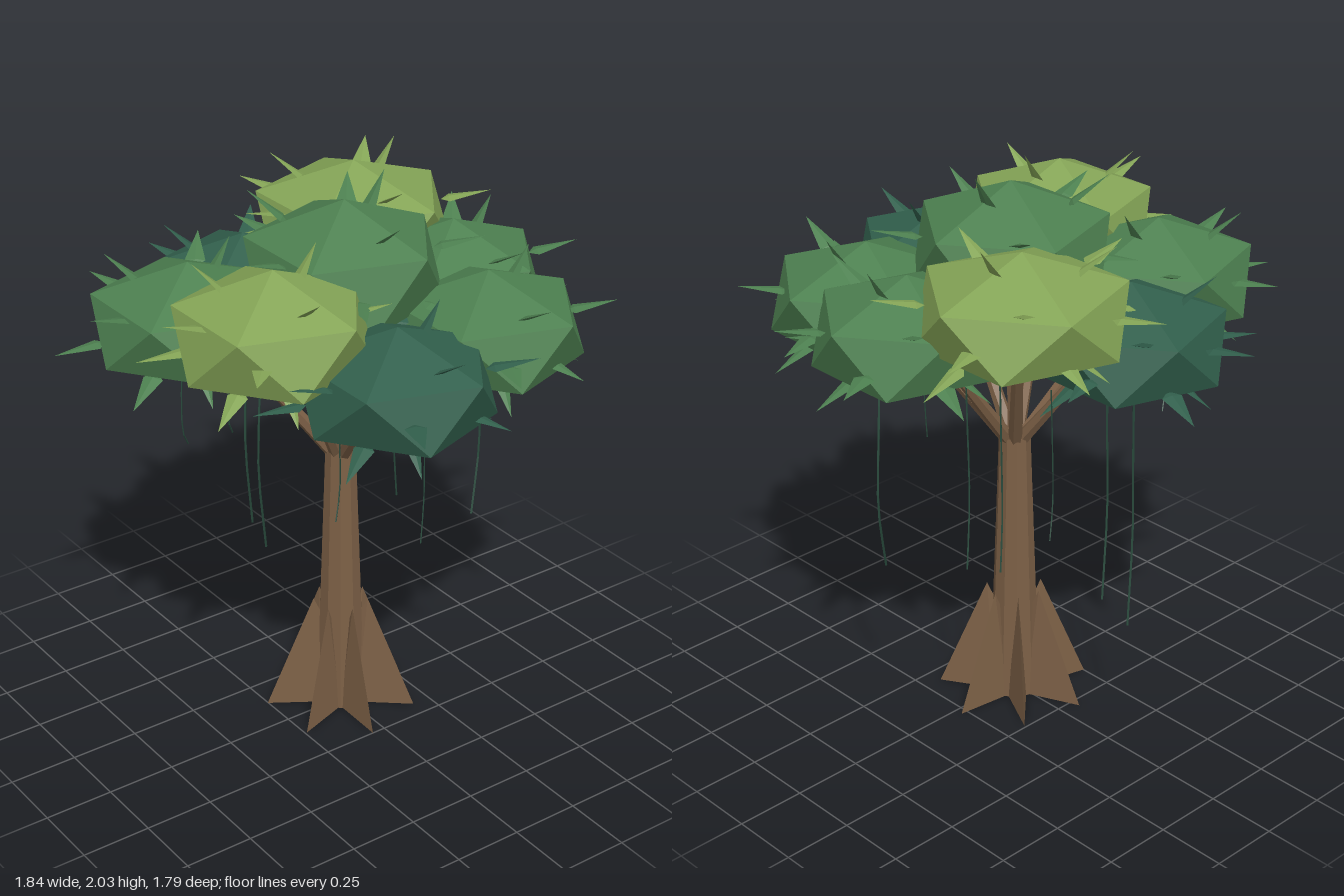
import * as THREE from 'three';
import { ConvexGeometry } from 'three/addons/geometries/ConvexGeometry.js';

const paint = (name, color) => {
  const m = new THREE.MeshStandardMaterial({ color, flatShading: true });
  m.name = name;
  return m;
};
const V = (x, y, z) => new THREE.Vector3(x, y, z);

export function createModel() {
  const tree = new THREE.Group();
  tree.name = 'tree';
  const bark = paint('bark brown', 0x7c6046);
  const lime = paint('lime leaf', 0x84a456);
  const green = paint('mid green leaf', 0x4d8050);
  const dark = paint('dark teal leaf', 0x315f4c);
  const vineMat = paint('vine green', 0x28493b);

  const add = (parent, name, geo, mat) => {
    const mesh = new THREE.Mesh(geo, mat);
    mesh.name = name;
    parent.add(mesh);
    return mesh;
  };

  // Tapered cylinder between two points
  const limb = (parent, name, a, b, r0, r1, sides, mat) => {
    const d = b.clone().sub(a);
    const mesh = add(parent, name, new THREE.CylinderGeometry(r1, r0, d.length(), sides), mat);
    mesh.position.copy(a).addScaledVector(d, 0.5);
    mesh.quaternion.setFromUnitVectors(V(0, 1, 0), d.normalize());
  };

  // Trunk and its seven buttress roots
  const base = new THREE.Group();
  base.name = 'trunkBase';
  base.position.z = -0.02;
  tree.add(base);
  limb(base, 'trunk', V(0, 0, 0), V(0, 1.04, 0), 0.092, 0.056, 10, bark);
  const root = new ConvexGeometry([
    V(0.275, 0, 0), V(0.07, 0, 0.034), V(0.07, 0, -0.034), V(0.1, 0.43, 0), V(0.06, 0.34, 0),
  ]);
  for (let i = 0; i < 7; i++) {
    add(base, 'buttressRoot', root, bark).rotation.y = -(0.86 + i * Math.PI * 2 / 7);
  }

  // Icosahedron standing on a vertex
  const clumpGeo = new THREE.IcosahedronGeometry(1, 0);
  clumpGeo.rotateZ(-Math.atan(2 / (1 + Math.sqrt(5))));

  // Flattened pointed leaf, base at the origin, tip along +y
  const leafGeo = new THREE.LatheGeometry(
    [[0, 0], [0.036, 0.03], [0.022, 0.09], [0, 0.18]].map(p => new THREE.Vector2(...p)), 4);
  leafGeo.rotateY(Math.PI / 2);
  leafGeo.scale(1, 1, 0.2);
  const leaf = (parent, tip, centre, mat) => {
    const d = tip.clone().sub(centre).normalize();
    const side = V(d.z, 0, -d.x).normalize();
    const mesh = add(parent, 'leaf', leafGeo, mat);
    mesh.quaternion.setFromRotationMatrix(
      new THREE.Matrix4().makeBasis(side, d, side.clone().cross(d)));
    mesh.position.copy(tip).addScaledVector(d, -0.18);
  };

  // Foliage clumps: colour, centre, radius, half height, leaves bent off the spiral (index: [x, z])
  const clumps = [
    [green, [0, 1.73, 0], 0.375, 0.24, { 0: [0.18, -0.02], 1: [-0.24, -0.22], 2: [0.02, 0.28] }],
    [dark, [-0.13, 1.51, 0.47], 0.365, 0.21,
      { 2: [-0.1, 0.78], 4: [-0.57, 0.5], 7: [-0.34, 0.89], 10: [0.08, 0.8] }],
    [dark, [-0.1, 1.51, -0.46], 0.36, 0.21, { 6: [-0.22, -0.9] }],
    [green, [0.345, 1.54, 0.34], 0.37, 0.21,
      { 2: [0.32, 0.69], 5: [0.72, 0.57], 7: [0.12, 0.79], 8: [0.82, 0.2], 10: [0.46, 0.71] }],
    [green, [0.48, 1.57, -0.02], 0.355, 0.21, { 5: [0.9, 0.15], 8: [0.92, -0.22] }],
    [lime, [0.315, 1.71, -0.38], 0.385, 0.21,
      { 2: [0.29, -0.06], 3: [0.58, -0.67], 4: [-0.15, -0.37], 6: [0.13, -0.83],
        8: [0.76, -0.52], 11: [0.4, -0.77], 13: [0.71, -0.35] }],
    [lime, [-0.415, 1.67, 0.19], 0.365, 0.22,
      { 1: [-0.62, 0.03], 2: [-0.43, 0.47], 4: [-0.82, 0.18], 5: [-0.09, 0.39],
        7: [-0.7, 0.52], 9: [-0.83, 0.02] }],
    [green, [-0.465, 1.57, -0.24], 0.365, 0.21,
      { 4: [-0.87, -0.19], 6: [-0.59, -0.68], 9: [-0.92, -0.355] }],
  ];
  const leafCount = 16, golden = Math.PI * (3 - Math.sqrt(5)), reach = 1.33;
  for (const [mat, at, radius, half, bent] of clumps) {
    const group = new THREE.Group();
    group.name = 'foliageClump';
    tree.add(group);
    const centre = V(...at);
    const body = add(group, 'foliage', clumpGeo, mat);
    body.position.copy(centre);
    body.scale.set(radius, half, radius);
    // Leaves spiral from crown to underside
    for (let i = 0; i < leafCount; i++) {
      const h = 1 - (2 * i + 1) / leafCount;
      const r = Math.sqrt(1 - h * h) * radius * reach;
      const [x, z] = bent[i] ??
        [at[0] + r * Math.cos(i * golden), at[2] - r * Math.sin(i * golden)];
      leaf(group, V(x, at[1] + h * half * reach, z), centre, mat);
    }
    // Branch from the fork to the clump
    limb(tree, 'branch', V(at[0] * 0.05, 1.02, at[2] * 0.05 - 0.02),
      V(at[0] * 0.82, at[1] - 0.04, at[2] * 0.82), 0.026, 0.015, 6, bark);
  }

  // Hanging vines: x, z, bottom height, sideways bow, thickness
  const vines = [
    [0.5, 0.1, 0.66, 0.055, 0.005], [0.34, -0.14, 0.68, -0.03, 0.004],
    [0.41, -0.38, 0.8, -0.02, 0.004], [-0.08, -0.38, 0.49, -0.045, 0.005],
    [-0.02, -0.56, 0.49, -0.04, 0.005], [0.01, 0.43, 0.86, 0.02, 0.003],
    [-0.45, -0.3, 1.07, -0.03, 0.003], [-0.25, 0.3, 0.97, 0.03, 0.003],
    [-0.33, -0.2, 1.12, -0.02, 0.003], [0.33, -0.53, 0.95, -0.03, 0.003],
  ];
  for (const [x, z, low, bow, r] of vines) {
    const top = 1.5, mid = (low + top) / 2;
    const path = new THREE.CatmullRomCurve3([
      V(x, top, z), V(x + bow * 0.7, mid + 0.12, z - bow * 0.5),
      V(x + bow, mid - 0.15, z - bow * 0.6), V(x, low, z),
    ]);
    add(tree, 'vine', new THREE.TubeGeometry(path, 8, r, 4), vineMat);
  }
  return tree;
}
